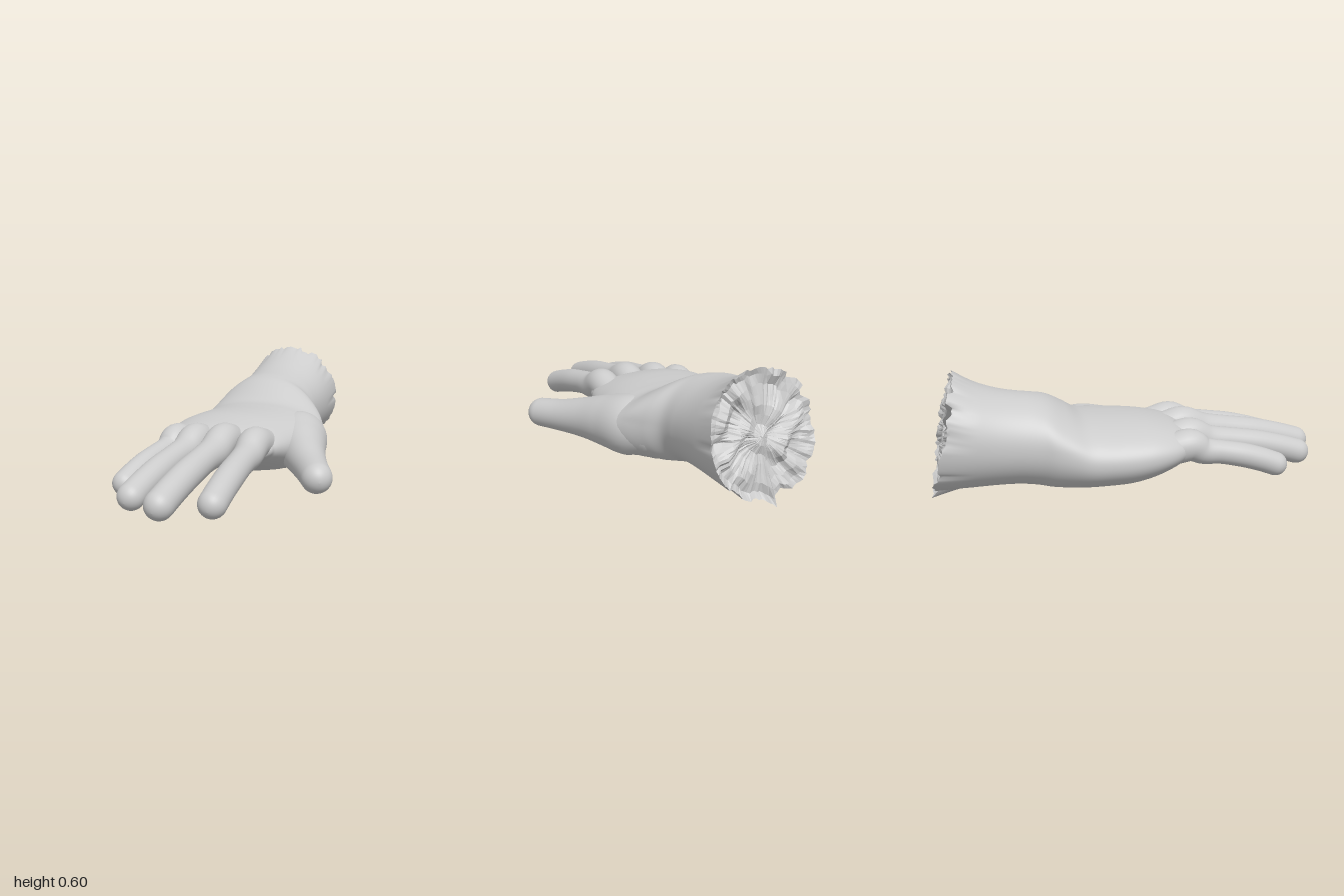
import * as THREE from 'three';

const FLOOR = 0.045; // flat resting plane of palm and fingers
const skinMaterial = new THREE.MeshStandardMaterial({ color: 0xcccccc, side: THREE.DoubleSide });
const tornMaterial = new THREE.MeshStandardMaterial({ color: 0xcccccc, side: THREE.DoubleSide, flatShading: true });

// Repeatable value in -1..1
function noise(i, seed) {
  const s = Math.sin(i * 127.1 + seed * 311.7) * 43758.5453;
  return (s - Math.floor(s)) * 2 - 1;
}

// Joins closed rows of points into one surface
function skin(name, rows, material = skinMaterial) {
  const n = rows[0].length, index = [];
  for (let i = 0; i < rows.length - 1; i++) {
    for (let j = 0; j < n; j++) {
      const a = i * n + j, b = i * n + (j + 1) % n;
      index.push(a, b, a + n, b, b + n, a + n);
    }
  }
  const geometry = new THREE.BufferGeometry().setFromPoints(rows.flat());
  geometry.setIndex(index);
  geometry.computeVertexNormals();
  const mesh = new THREE.Mesh(geometry, material);
  mesh.name = name;
  return mesh;
}

const smooth = (points) => new THREE.CatmullRomCurve3(points, false, 'catmullrom');

// Elliptical cross-sections [z, xMin, xMax, yMin, yMax] smoothed along z
function sections(list, sides, steps, power) {
  const centre = smooth(list.map(([z, x0, x1, y0, y1]) => new THREE.Vector3((x0 + x1) / 2, (y0 + y1) / 2, z)));
  const size = smooth(list.map(([, x0, x1, y0, y1]) => new THREE.Vector3((x1 - x0) / 2, (y1 - y0) / 2, 0)));
  const rounded = (v) => Math.sign(v) * Math.abs(v) ** (2 / power);
  const rows = [];
  for (let i = 0; i <= steps; i++) {
    const c = centre.getPoint(i / steps), s = size.getPoint(i / steps), row = [];
    for (let j = 0; j < sides; j++) {
      const a = (j / sides) * Math.PI * 2;
      row.push(new THREE.Vector3(c.x + s.x * rounded(Math.cos(a)), c.y + s.y * rounded(Math.sin(a)), c.z));
    }
    rows.push(row);
  }
  return rows;
}

// Round limb through [x, y, z, radius] points with domed ends
function limb(name, list, sides = 28, steps = 36) {
  const path = smooth(list.map(([x, y, z]) => new THREE.Vector3(x, y, z)));
  const radii = smooth(list.map((p) => new THREE.Vector3(p[3], 0, 0)));
  const rows = [], up = new THREE.Vector3(0, 1, 0);
  const ring = (c, t, r) => {
    const side = new THREE.Vector3().crossVectors(up, t).normalize();
    const top = new THREE.Vector3().crossVectors(t, side);
    const row = [];
    for (let j = 0; j < sides; j++) {
      const a = (j / sides) * Math.PI * 2;
      const p = c.clone().addScaledVector(side, Math.cos(a) * r).addScaledVector(top, Math.sin(a) * r);
      p.y = Math.max(p.y, FLOOR);
      row.push(p);
    }
    rows.push(row);
  };
  const domed = (end, dir) => {
    const c = path.getPoint(end), t = path.getTangent(end), r = radii.getPoint(end).x;
    for (let k = 1; k <= 10; k++) {
      const b = ((dir > 0 ? k : 11 - k) / 10) * Math.PI / 2 * 0.995;
      ring(c.clone().addScaledVector(t, dir * r * Math.sin(b)), t, r * Math.cos(b));
    }
  };
  domed(0, -1);
  for (let i = 0; i <= steps; i++) ring(path.getPoint(i / steps), path.getTangent(i / steps), radii.getPoint(i / steps).x);
  domed(1, 1);
  return skin(name, rows);
}

export function createModel() {
  const hand = new THREE.Group();
  hand.name = 'hand';

  // Wrist and palm in one smooth body
  const body = sections([
    [-0.93, -0.41, 0.12, 0.035, 0.605],
    [-0.8, -0.41, 0.115, 0.042, 0.545],
    [-0.68, -0.405, 0.11, 0.045, 0.507],
    [-0.58, -0.405, 0.11, 0.042, 0.487],
    [-0.49, -0.415, 0.12, 0.03, 0.474],
    [-0.42, -0.435, 0.175, 0.01, 0.455],
    [-0.34, -0.453, 0.235, 0, 0.412],
    [-0.26, -0.467, 0.272, 0, 0.364],
    [-0.17, -0.48, 0.28, 0.005, 0.353],
    [-0.06, -0.49, 0.25, 0.015, 0.35],
    [0.04, -0.488, 0.215, 0.04, 0.344],
    [0.13, -0.468, 0.19, 0.075, 0.328],
    [0.2, -0.432, 0.165, 0.11, 0.308],
    [0.25, -0.38, 0.125, 0.15, 0.275],
    [0.265, -0.13, -0.12, 0.21, 0.22],
  ], 110, 130, 2.1);
  const middle = new THREE.Vector3(-0.145, 0.31, 0);
  body.forEach((row) => row.forEach((p, j) => {
    // slanted, torn end of the wrist
    const slant = THREE.MathUtils.clamp((-0.6 - p.z) / 0.33, 0, 1);
    const torn = THREE.MathUtils.clamp((-0.77 - p.z) / 0.16, 0, 1) ** 1.5;
    const tear = 0.65 * noise(Math.floor(j / 4), 2) + 0.35 * noise(j, 3);
    const shrink = 1 - torn * 0.1 * Math.max(0, tear);
    // the wrist swells over the palm in a rounded front edge
    const swell = Math.max(0, 1 - Math.abs(p.z + 0.33) / 0.2);
    p.z -= swell * 0.5 * (p.x + 0.12) ** 2 * (p.y > 0.25 ? (p.y - 0.25) / 0.15 : 0);
    p.x = middle.x + (p.x - middle.x) * shrink;
    p.y = middle.y + (p.y - middle.y) * shrink;
    if (p.z > -0.62) p.y = Math.max(p.y, FLOOR);
    p.z += slant * 0.2 * (p.y - 0.31) + torn * 0.022 * tear;
    // one long tooth hanging from the lower edge
    const tooth = torn * Math.max(0, 1 - Math.abs(j - 80) / 3);
    p.y -= tooth * 0.038;
    p.z -= tooth * 0.005;
  }));
  hand.add(skin('wristAndPalm', body));

  // Ragged face closing the torn end
  const face = [0, 0.15, 0.3, 0.45, 0.6, 0.75, 0.9, 1].map((f) => body[0].map((p) => {
    const q = new THREE.Vector3(middle.x, middle.y, -0.925).lerp(p, f);
    const ridges = Math.sin(38 * q.y + 2 * Math.sin(23 * q.x)) + 0.7 * Math.sin(47 * q.x + 3 * Math.sin(19 * q.y));
    q.z += f < 1 ? 0.012 + 0.013 * ridges : 0;
    return q;
  }));
  hand.add(skin('tornEnd', face, tornMaterial));

  // Fingers: knuckle [x, top y, z], tip [x, z], radius
  const fingers = [
    ['littleFinger', [-0.365, 0.305, 0.235], [-0.402, 0.73], 0.059],
    ['ringFinger', [-0.24, 0.324, 0.275], [-0.253, 0.92], 0.064],
    ['middleFinger', [-0.078, 0.34, 0.29], [-0.07, 1.0], 0.068],
    ['indexFinger', [0.078, 0.328, 0.265], [0.126, 0.89], 0.065],
  ];
  for (const [name, [kx, ky, kz], [tx, tz], r] of fingers) {
    const along = (f, lift, radius) => [
      THREE.MathUtils.lerp(kx, tx, f),
      THREE.MathUtils.lerp(ky - 0.085, FLOOR + r, f) + lift,
      THREE.MathUtils.lerp(kz, tz - r, f), radius];
    hand.add(limb(name, [
      [kx * 0.95, ky - 0.12, kz - 0.2, 0.068],
      [kx * 0.98, ky - 0.098, kz - 0.09, 0.077],
      along(0, 0.004, 0.08),
      along(0.16, -0.01, r * 1.12),
      along(0.35, 0.002, r),
      along(0.6, 0.01, r * 1.02),
      along(0.82, 0.008, r * 1.01),
      along(1, 0, r),
    ]));
  }

  // Thumb with its fleshy base
  hand.add(limb('thumb', [
    [0.08, 0.175, -0.32, 0.125],
    [0.135, 0.175, -0.22, 0.152],
    [0.195, 0.165, -0.09, 0.133],
    [0.262, 0.15, 0.04, 0.106],
    [0.34, 0.132, 0.175, 0.085],
    [0.412, 0.121, 0.3, 0.076],
  ], 36, 44));

  return hand;
}
